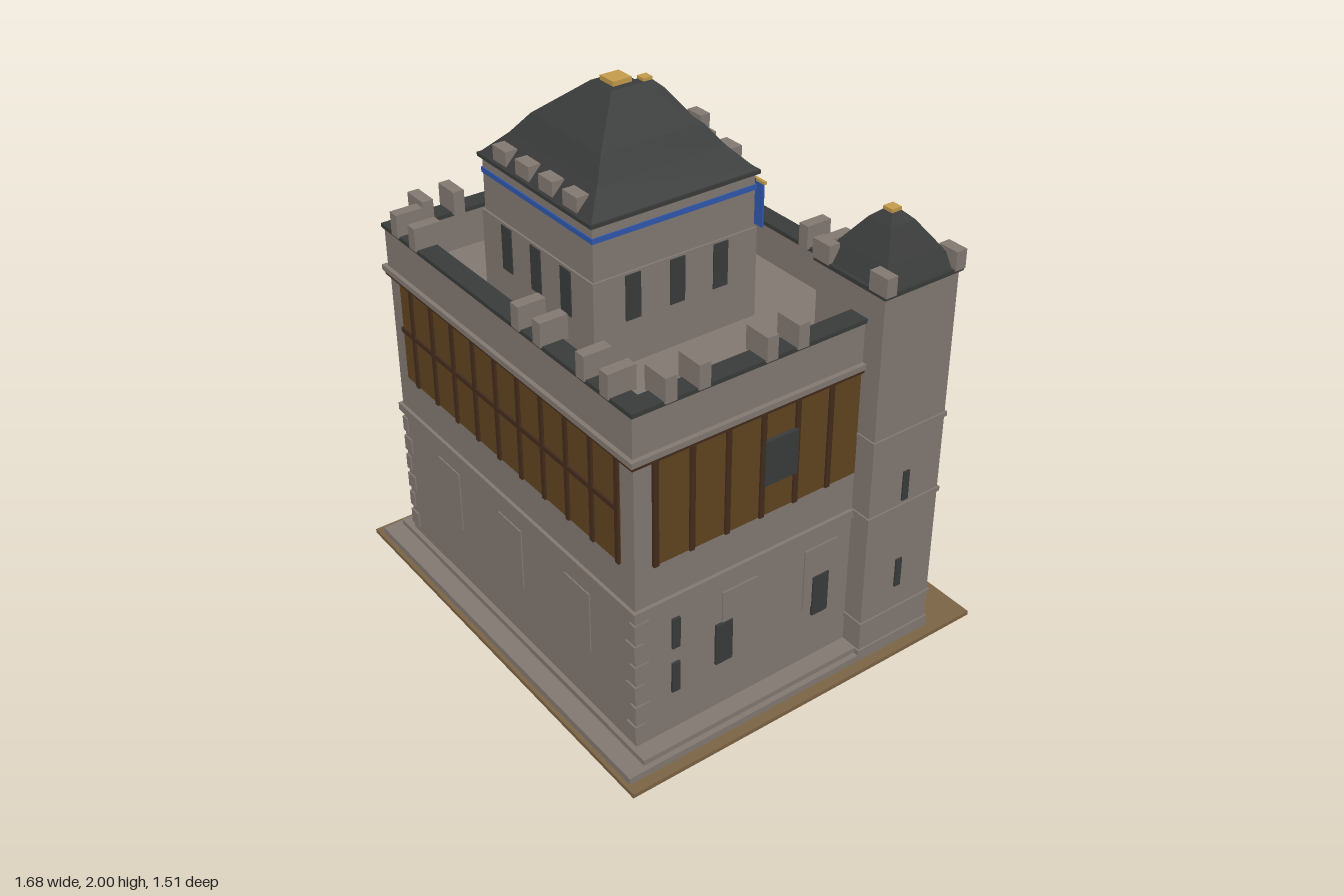
import * as THREE from 'three';

const mat = (name, color) => {
  const m = new THREE.MeshStandardMaterial({ color });
  m.name = name;
  return m;
};

export function createModel() {
  const model = new THREE.Group();
  model.name = 'gatehouseKeep';
  const stone = mat('stone', 0x827871);
  const slate = mat('slate', 0x393a3a);
  const earth = mat('earth', 0x7c6446);
  const timber = mat('timber', 0x604420);
  const beam = mat('darkBeam', 0x432c1c);
  const doorWood = mat('doorWood', 0x452a1b);
  const blue = mat('blue', 0x2f58ac);
  const gold = mat('gold', 0xc39b4c);

  const add = (name, geo, material, x = 0, y = 0, z = 0) => {
    const mesh = new THREE.Mesh(geo, material);
    mesh.name = name;
    mesh.position.set(x, y, z);
    model.add(mesh);
    return mesh;
  };
  // Box given by its limits on each axis
  const box = (name, m, x0, x1, y0, y1, z0, z1) =>
    add(name, new THREE.BoxGeometry(x1 - x0, y1 - y0, z1 - z0), m, (x0 + x1) / 2, (y0 + y1) / 2, (z0 + z1) / 2);
  // Box given by its centre in plan, half sizes and height range
  const block = (name, m, x, z, hx, hz, y0, y1) => box(name, m, x - hx, x + hx, y0, y1, z - hz, z + hz);
  // Four-sided roof from [half width, height] pairs
  const roof = (name, profile, x, z) => {
    const pts = profile.map(([r, y]) => new THREE.Vector2(r * Math.SQRT2, y));
    const geo = new THREE.LatheGeometry(pts, 4, Math.PI / 4).toNonIndexed();
    geo.computeVertexNormals();
    add(name, geo, slate, x, 0, z);
  };

  // Ground and plinth
  box('foundation', stone, -0.835, 0.835, 0, 0.004, -0.705, 0.75);
  box('ground', earth, -0.84, 0.84, 0.004, 0.02, -0.71, 0.755);
  box('plinth', stone, -0.8, 0.8, 0.02, 0.045, -0.46, 0.74);
  box('plinthStep', stone, -0.78, 0.78, 0.045, 0.065, -0.46, 0.72 - 0.05);

  // Main walls with string courses
  const W = 0.715, F = 0.652, B = -0.45;
  box('mainWalls', stone, -W, W, 0.06, 1.2, B, F);
  box('stringCourse', stone, -0.728, 0.728, 0.59, 0.62, B - 0.012, F + 0.012);
  box('upperCornice', stone, -0.735, 0.735, 1.165, 1.185, -0.47, 0.672);
  box('corniceBeam', beam, -0.728, 0.728, 1.15, 1.165, -0.462, 0.665);

  // Parapet with dark coping
  const ring = (name, m, ox, z0, z1, t, y0, y1) => {
    box(name + 'Front', m, -ox, ox, y0, y1, z1 - t, z1);
    box(name + 'Back', m, -ox, ox, y0, y1, z0, z0 + t);
    for (const s of [-1, 1]) block(name + 'Side', m, s * (ox - t / 2), (z0 + z1) / 2, t / 2, (z1 - z0) / 2 - t, y0, y1);
  };
  ring('parapet', stone, 0.718, -0.452, 0.657, 0.065, 1.185, 1.33);
  ring('coping', slate, 0.727, -0.459, 0.664, 0.075, 1.33, 1.345);
  for (const x of [-0.62, -0.5, 0.13, 0.25, 0.48, 0.6]) block('merlon', stone, x, 0.62, 0.021, 0.05, 1.34, 1.425);
  for (const x of [-0.245, -0.127, 0.25, 0.365]) block('merlon', stone, x, -0.42, 0.021, 0.05, 1.34, 1.425);
  for (const s of [-1, 1])
    for (const z of [0.04, 0.16, 0.41, 0.53]) block('merlon', stone, s * 0.685, z, 0.05, 0.021, 1.34, 1.425);

  // Timber gallery: front, back, then both sides
  const gallery = (z0, z1, zi, half) => {
    box('timberPanel', timber, -half, half, 0.765, 1.15, z0, z1);
    const [a, b] = zi > 0 ? [z1, z1 + 0.008] : [z0 - 0.008, z0];
    for (let i = -5; i <= 5; i++) {
      const x = i * 0.134 - 0.03;
      if (Math.abs(x) < half) box('timberPost', beam, x - 0.009, x + 0.009, 0.765, 1.15, a, b);
    }
    box('timberRail', beam, -half, half, 0.957, 0.975, a, b);
  };
  gallery(F, F + 0.004, 1, 0.647);
  gallery(B - 0.004, B, -1, 0.49);
  for (const s of [-1, 1]) {
    block('timberPanel', timber, s * (W + 0.002), 0.183, 0.002, 0.403, 0.765, 1.15);
    for (let i = 0; i < 6; i++) block('timberPost', beam, s * (W + 0.006), 0.578 - i * 0.135, 0.006, 0.009, 0.765, 1.15);
    block('galleryWindow', slate, s * (W + 0.009), 0.105, 0.009, 0.065, 0.885, 1.05);
    // Lower side windows, blank panels and slits
    for (const [z, wz] of [[0.245, 0.31], [-0.095, -0.095]]) {
      block('blindPanel', stone, s * (W + 0.002), z, 0.003, 0.07, 0.287, 0.53);
      block('sideWindow', slate, s * (W + 0.006), wz, 0.005, 0.033, 0.25, 0.41);
    }
    for (const y of [0.225, 0.405]) block('arrowSlit', slate, s * (W + 0.004), 0.5, 0.005, 0.015, y, y + 0.118);
    // Corner quoins
    for (let i = 0; i < 6; i++) {
      const l = i % 2 ? 0.03 : 0.05;
      box('quoin', stone, s > 0 ? W + 0.004 - l : -W - 0.004, s > 0 ? W + 0.004 : -W - 0.004 + l,
        0.09 + i * 0.083, 0.15 + i * 0.083, F - 0.08 + l, F + 0.006);
    }
    block('backWindow', slate, s * 0.4, B - 0.003, 0.033, 0.005, 0.25, 0.41);
  }
  for (const x of [-0.4, 0, 0.4]) {
    block('blindPanel', stone, x, F + 0.001, 0.07, 0.004, 0.287, 0.525);
    block('galleryWindow', slate, x, B - 0.012, 0.065, 0.008, 0.885, 1.05);
  }

  // Corner towers
  for (const s of [-1, 1]) {
    const x = s * 0.642, z = -0.377;
    block('towerShaft', stone, x, z, 0.154, 0.154, 0.02, 1.445);
    block('towerFoot', stone, x, z, 0.16, 0.16, 0.02, 0.065);
    for (const y of [0.165, 0.605, 0.905]) block('towerBand', stone, x, z, 0.16, 0.16, y, y + 0.017);
    block('towerCoping', slate, x, z, 0.164, 0.164, 1.445, 1.46);
    for (const a of [-1, 1])
      for (const b of [-1, 1]) block('towerMerlon', stone, x + a * 0.13, z + b * 0.144, 0.039, 0.021, 1.455, 1.522);
    roof('towerRoof', [[0.15, 1.46], [0.112, 1.522], [0.05, 1.61], [0.02, 1.638], [0, 1.638]], x, z);
    block('towerFinial', gold, x, z, 0.02, 0.02, 1.632, 1.65);
    for (const y of [0.275, 0.637]) {
      block('towerSlit', slate, x + s * 0.154, z, 0.006, 0.013, y, y + 0.115);
      block('towerSlit', slate, x, z - 0.154, 0.013, 0.006, y, y + 0.115);
    }
  }

  // Central keep
  const kz = 0.193;
  block('keepLower', stone, 0, kz, 0.312, 0.312, 1.19, 1.52);
  block('keepUpper', stone, 0, kz, 0.305, 0.305, 1.52, 1.71);
  block('keepBlueBand', blue, 0, kz, 0.309, 0.309, 1.65, 1.668);
  block('keepEaves', slate, 0, kz, 0.317, 0.317, 1.705, 1.718);
  roof('keepRoof', [[0.312, 1.717], [0.24, 1.793], [0.19, 1.862], [0.055, 1.982], [0, 1.988]], 0, kz);
  block('keepFinial', gold, 0, kz, 0.035, 0.035, 1.98, 2);
  for (const s of [-1, 1]) {
    for (const o of [-0.167, 0, 0.167]) {
      block('keepWindow', slate, o, kz + s * 0.312, 0.028, 0.004, 1.355, 1.512);
      block('keepWindow', slate, s * 0.312, kz + o, 0.004, 0.028, 1.355, 1.512);
    }
    for (const x of [-0.195, -0.065, 0.065, 0.195])
      block('keepMerlon', stone, x, kz + s * 0.286, 0.038, 0.022, 1.715, 1.772);
    // Hanging banners behind the keep
    block('bannerPost', slate, s * 0.21, -0.122, 0.005, 0.004, 1.4, 1.635);
    block('bannerArm', slate, s * 0.21, -0.157, 0.004, 0.04, 1.622, 1.63);
    block('bannerBar', gold, s * 0.21, -0.196, 0.047, 0.005, 1.622, 1.632);
    block('bannerCloth', blue, s * 0.21, -0.193, 0.042, 0.003, 1.47, 1.622);
  }

  // Entrance porch with arched opening
  const wall = new THREE.Shape([[-0.285, 0.02], [0.285, 0.02], [0.285, 0.75], [-0.285, 0.75]].map((p) => new THREE.Vector2(...p)));
  const arch = new THREE.Path();
  arch.moveTo(-0.18, 0.05);
  arch.lineTo(-0.18, 0.38);
  arch.absarc(0, 0.38, 0.18, Math.PI, 0, true);
  arch.lineTo(0.18, 0.05);
  arch.closePath();
  wall.holes.push(arch);
  add('porchArch', new THREE.ExtrudeGeometry(wall, { depth: 0.07, bevelEnabled: false, curveSegments: 8 }), stone, 0, 0, -0.64);
  box('porchBody', stone, -0.285, 0.285, 0.02, 0.75, -0.57, -0.45);
  box('porchCap', stone, -0.297, 0.297, 0.75, 0.768, -0.65, -0.45);
  const rim = new THREE.TorusGeometry(0.19, 0.012, 4, 12, Math.PI);
  add('archMoulding', rim, stone, 0, 0.38, -0.638);

  // Double door, centre bar and lintel
  for (const s of [-1, 1]) {
    block('doorLeaf', doorWood, s * 0.088, -0.578, 0.084, 0.008, 0.05, 0.42);
    block('bluePilaster', blue, s * 0.297, -0.636, 0.012, 0.011, 0.03, 0.58);
  }
  block('doorBar', slate, 0, -0.592, 0.008, 0.006, 0.05, 0.555);
  block('lintelBanner', blue, 0, -0.646, 0.24, 0.008, 0.655, 0.69);
  block('lintelBeam', slate, 0, -0.645, 0.25, 0.01, 0.622, 0.652);

  // Entrance steps
  [[0.262, -0.68, 0.05], [0.257, -0.72, 0.034], [0.25, -0.758, 0.018]].forEach(([h, z, y]) =>
    box('entranceStep', stone, -h, h, 0.002, y, z, -0.56));

  // Braziers beside the entrance
  for (const s of [-1, 1]) {
    add('brazierStand', new THREE.CylinderGeometry(0.018, 0.03, 0.08, 8), stone, s * 0.38, 0.06, -0.538);
    add('brazierBowl', new THREE.CylinderGeometry(0.042, 0.026, 0.035, 8), slate, s * 0.38, 0.117, -0.538);
  }
  return model;
}
